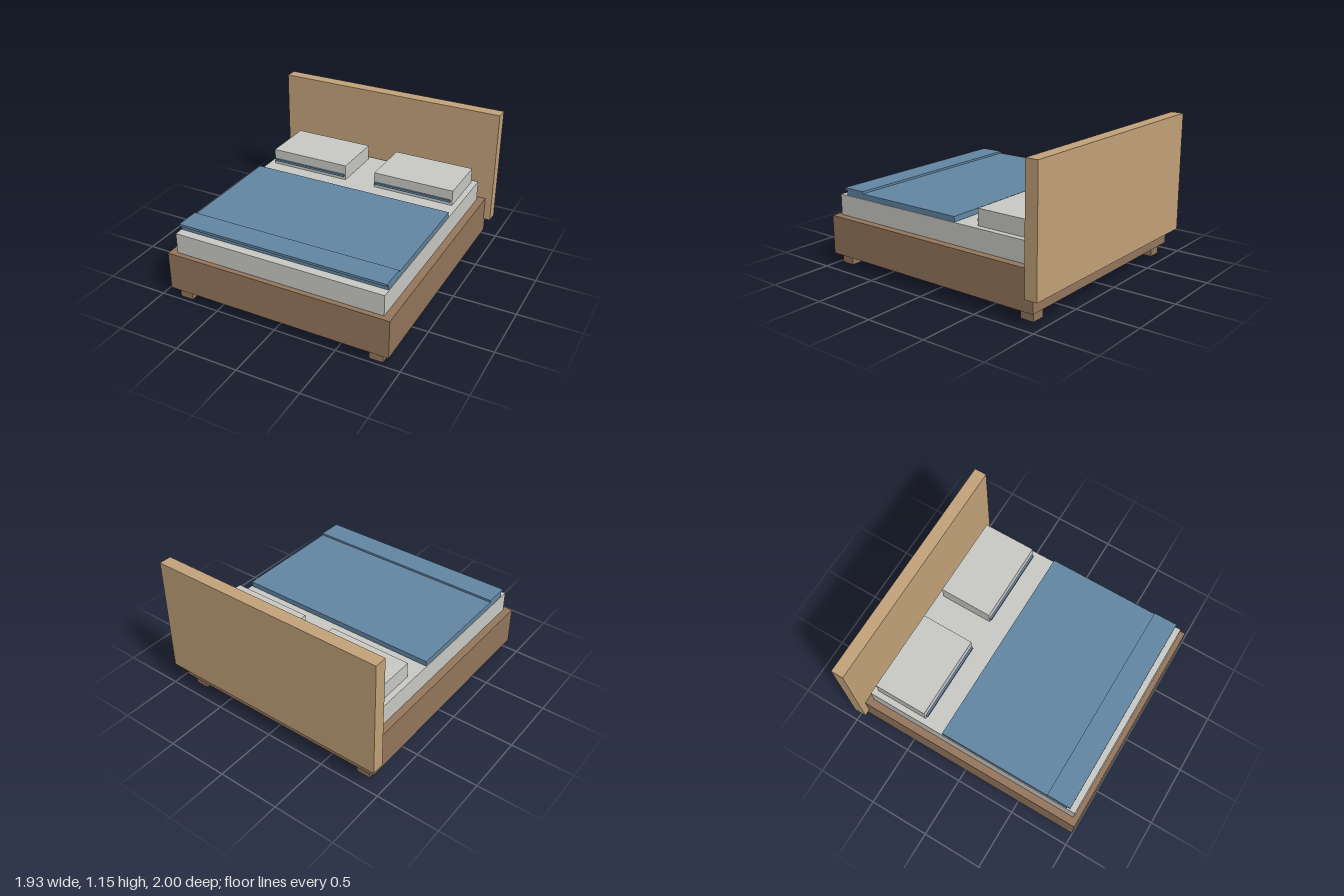
import * as THREE from 'three';

export function createModel() {
  const bed = new THREE.Group();
  bed.name = 'bed';

  const material = (name, color) => {
    const m = new THREE.MeshStandardMaterial({ color });
    m.name = name;
    return m;
  };
  const darkWood = material('darkWood', 0x94765c);
  const lightWood = material('lightWood', 0xc3a27a);
  const linen = material('linen', 0xc9cac5);
  const blueCloth = material('blueCloth', 0x6286a4);

  // Adds a box given by its [min, max] extents along each axis
  const addBox = (name, mat, [x0, x1], [y0, y1], [z0, z1]) => {
    const mesh = new THREE.Mesh(new THREE.BoxGeometry(x1 - x0, y1 - y0, z1 - z0), mat);
    mesh.position.set((x0 + x1) / 2, (y0 + y1) / 2, (z0 + z1) / 2);
    mesh.name = name;
    bed.add(mesh);
  };

  // Wooden base and headboard
  addBox('frame', darkWood, [-0.91, 0.91], [0.083, 0.393], [-0.93, 1]);
  addBox('headboard', lightWood, [-0.965, 0.965], [0.2, 1.15], [-1, -0.9]);

  // Mattress and blanket with a folded band at the foot end
  addBox('mattress', linen, [-0.85, 0.85], [0.393, 0.558], [-0.855, 0.96]);
  addBox('blanket', blueCloth, [-0.845, 0.845], [0.558, 0.6], [-0.2, 0.89]);
  addBox('blanketFold', blueCloth, [-0.845, 0.845], [0.598, 0.617], [0.72, 0.915]);

  // Mirrored parts: pillows with a blue trim, and four feet
  for (const [side, s] of [['left', 1], ['right', -1]]) {
    const span = (a, b) => (s > 0 ? [a, b] : [-b, -a]);
    addBox(side + 'Pillow', linen, span(0.13, 0.803), [0.558, 0.685], [-0.815, -0.38]);
    addBox(side + 'PillowTrim', blueCloth, span(0.14, 0.79), [0.587, 0.605], [-0.39, -0.365]);
    addBox(side + 'FrontFoot', darkWood, span(0.747, 0.855), [0, 0.083], [0.859, 0.965]);
    addBox(side + 'BackFoot', darkWood, span(0.747, 0.855), [0, 0.083], [-0.895, -0.788]);
  }

  return bed;
}
